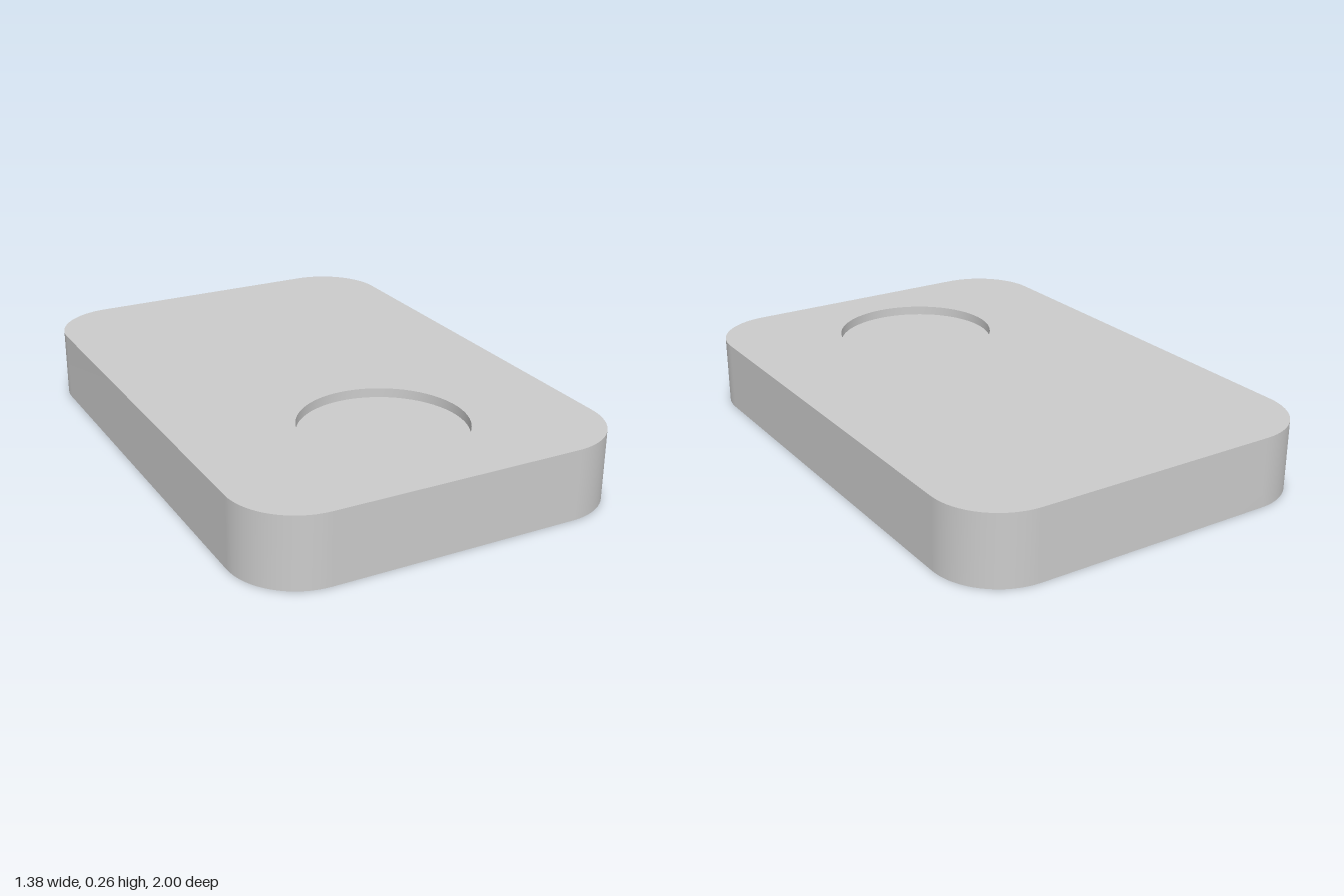
import * as THREE from 'three';

const HALF_W = 0.69, HALF_L = 1, HEIGHT = 0.256, CORNER = 0.24;
const RECESS = { z: 0.522, r: 0.296, floor: 0.222 };

// Counter-clockwise arc in plan, where plan y is -z
function arc(cx, cy, r, start, sweep, steps, count = steps) {
  return Array.from({ length: count }, (_, i) => {
    const a = start + (sweep * i) / steps;
    return new THREE.Vector2(cx + r * Math.cos(a), cy + r * Math.sin(a));
  });
}

// Smooth upright wall along a closed plan outline, facing out for counter-clockwise points
function wall(points, y0, y1) {
  const positions = [], index = [], n = points.length;
  points.forEach((p, i) => {
    positions.push(p.x, y0, -p.y, p.x, y1, -p.y);
    const a = 2 * i, b = 2 * ((i + 1) % n);
    index.push(a, b, b + 1, a, b + 1, a + 1);
  });
  const g = new THREE.BufferGeometry();
  g.setAttribute('position', new THREE.Float32BufferAttribute(positions, 3));
  g.setIndex(index);
  g.computeVertexNormals();
  return g;
}

// Flat face at a height, facing up or down
function face(points, y, hole, down = false) {
  const shape = new THREE.Shape(down ? points.map((p) => new THREE.Vector2(p.x, -p.y)) : points);
  if (hole) shape.holes.push(new THREE.Path(hole));
  return new THREE.ShapeGeometry(shape).rotateX(down ? Math.PI / 2 : -Math.PI / 2).translate(0, y, 0);
}

export function createModel() {
  const model = new THREE.Group();
  model.name = 'tray';
  const material = new THREE.MeshStandardMaterial({ color: 0xcccccc });
  const add = (name, geometry) => {
    const mesh = new THREE.Mesh(geometry, material);
    mesh.name = name;
    model.add(mesh);
  };

  // Rounded rectangle outline and round recess outline
  const outline = [[1, 1], [-1, 1], [-1, -1], [1, -1]].flatMap(([sx, sy], i) =>
    arc(sx * (HALF_W - CORNER), sy * (HALF_L - CORNER), CORNER, (i * Math.PI) / 2, Math.PI / 2, 16, 17));
  const circle = arc(0, -RECESS.z, RECESS.r, 0, Math.PI * 2, 64);

  // Slab
  add('sideWall', wall(outline, 0, HEIGHT));
  add('topFace', face(outline, HEIGHT, circle));
  add('bottomFace', face(outline, 0, null, true));

  // Shallow round recess
  add('recessWall', wall([...circle].reverse(), RECESS.floor, HEIGHT));
  add('recessFloor', face(circle, RECESS.floor));
  return model;
}
